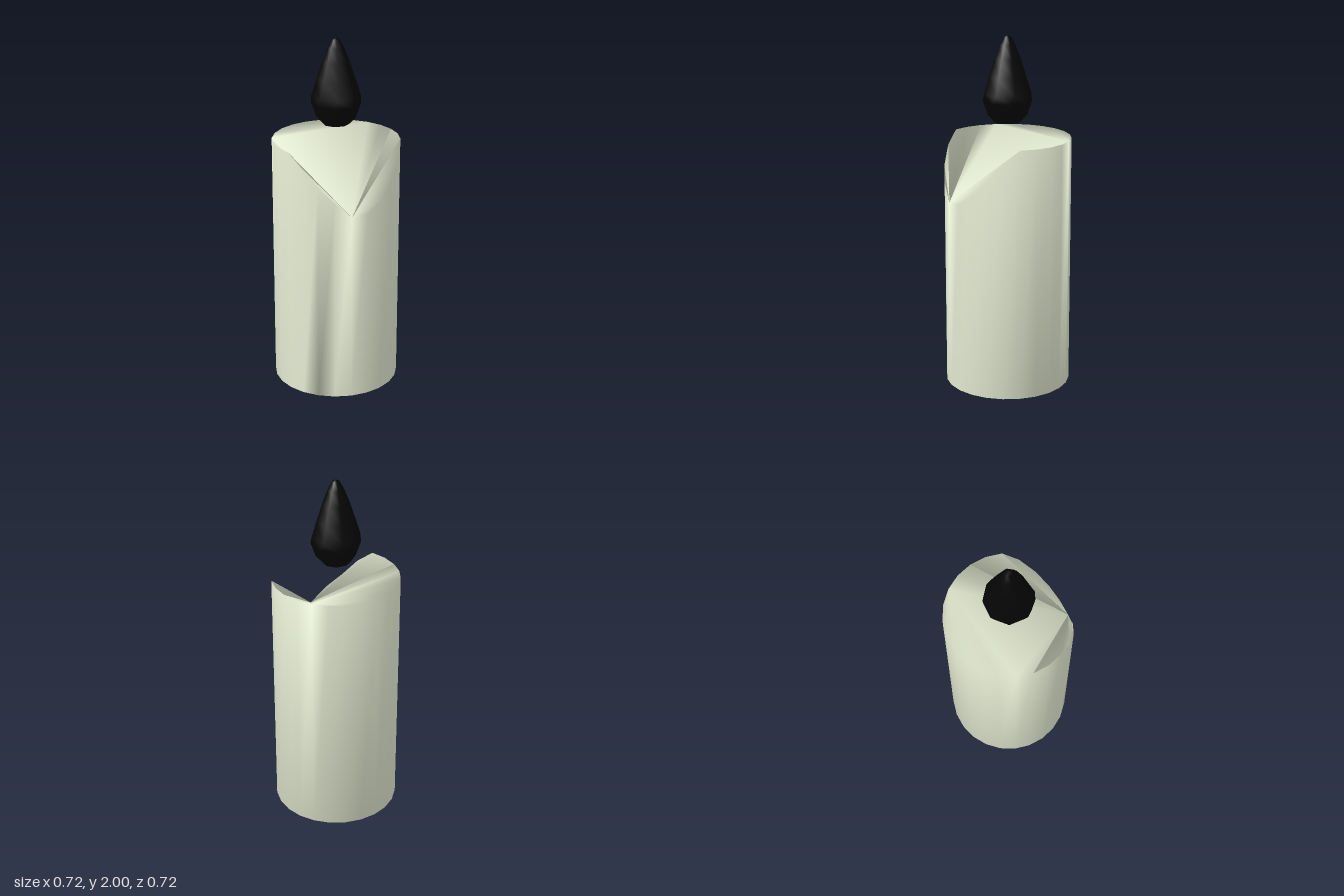
import * as THREE from 'three';
import { mergeVertices } from 'three/addons/utils/BufferGeometryUtils.js';

const SIDES = 24;
const RADIUS = 0.358;
const TOP = 1.43;

// Wax column: a 24-sided prism whose rim sags toward the front-left corner
function createWax() {
  const sag = { 23: 1.36, 0: 1.26, 1: 1.18, 2: 1.09, 3: 1.1, 4: 1.16, 5: 1.25, 6: 1.35 };
  const positions = [];
  const index = [];
  for (let i = 0; i < SIDES; i++) {
    const t = (i / SIDES) * Math.PI * 2;
    const x = Math.sin(t) * RADIUS;
    const z = Math.cos(t) * RADIUS;
    positions.push(x, 0, z, x, sag[i] ?? TOP, z);
  }
  const low = (i) => (i % SIDES) * 2;
  const rim = (i) => low(i) + 1;

  // side wall and underside
  for (let i = 0; i < SIDES; i++) {
    index.push(low(i), low(i + 1), rim(i + 1), low(i), rim(i + 1), rim(i));
    if (i > 0 && i < SIDES - 1) index.push(low(0), low(i + 1), low(i));
  }

  // melted top: a fan from the spill point, plus a flat ledge at the back
  const spill = 2, ledgeStart = 11, ledgeEnd = 19;
  const topTri = (a, b, c) => index.push(rim(a), rim(b), rim(c));
  for (let i = spill + 1; i < spill + SIDES - 1; i++) {
    if (i < ledgeStart || i >= ledgeEnd) topTri(spill, i, i + 1);
    else if (i > ledgeStart) topTri(ledgeStart, i, i + 1);
  }
  topTri(spill, ledgeStart, ledgeEnd);

  const geometry = new THREE.BufferGeometry();
  geometry.setAttribute('position', new THREE.Float32BufferAttribute(positions, 3));
  geometry.setIndex(index);
  geometry.computeVertexNormals();
  return geometry;
}

// Flame: an eight-sided teardrop, slightly twisted around its widest part
function createFlame() {
  const profile = [
    [0, 1.53], [0.035, 1.517], [0.075, 1.517], [0.11, 1.555], [0.138, 1.635],
    [0.138, 1.675], [0.108, 1.77], [0.075, 1.87], [0.045, 1.945], [0.02, 1.99], [0, 2],
  ].map(([r, y]) => new THREE.Vector2(r, y));
  let geometry = new THREE.LatheGeometry(profile, 8);
  const p = geometry.attributes.position;
  for (let i = 0; i < p.count; i++) {
    const twist = 0.17 + 0.22 * THREE.MathUtils.smoothstep(p.getY(i), 1.63, 1.68);
    const x = p.getX(i), z = p.getZ(i);
    const c = Math.cos(twist), s = Math.sin(twist);
    p.setXYZ(i, x * c + z * s, p.getY(i), z * c - x * s);
  }
  geometry.deleteAttribute('uv');
  geometry.deleteAttribute('normal');
  geometry = mergeVertices(geometry);
  geometry.computeVertexNormals();
  return geometry;
}

export function createModel() {
  const group = new THREE.Group();
  group.name = 'candle';
  const add = (name, geometry, color) => {
    const mesh = new THREE.Mesh(geometry, new THREE.MeshStandardMaterial({ color }));
    mesh.name = name;
    group.add(mesh);
  };
  add('waxBody', createWax(), 0xe4ebd2);
  add('flame', createFlame(), 0x050505);
  return group;
}
